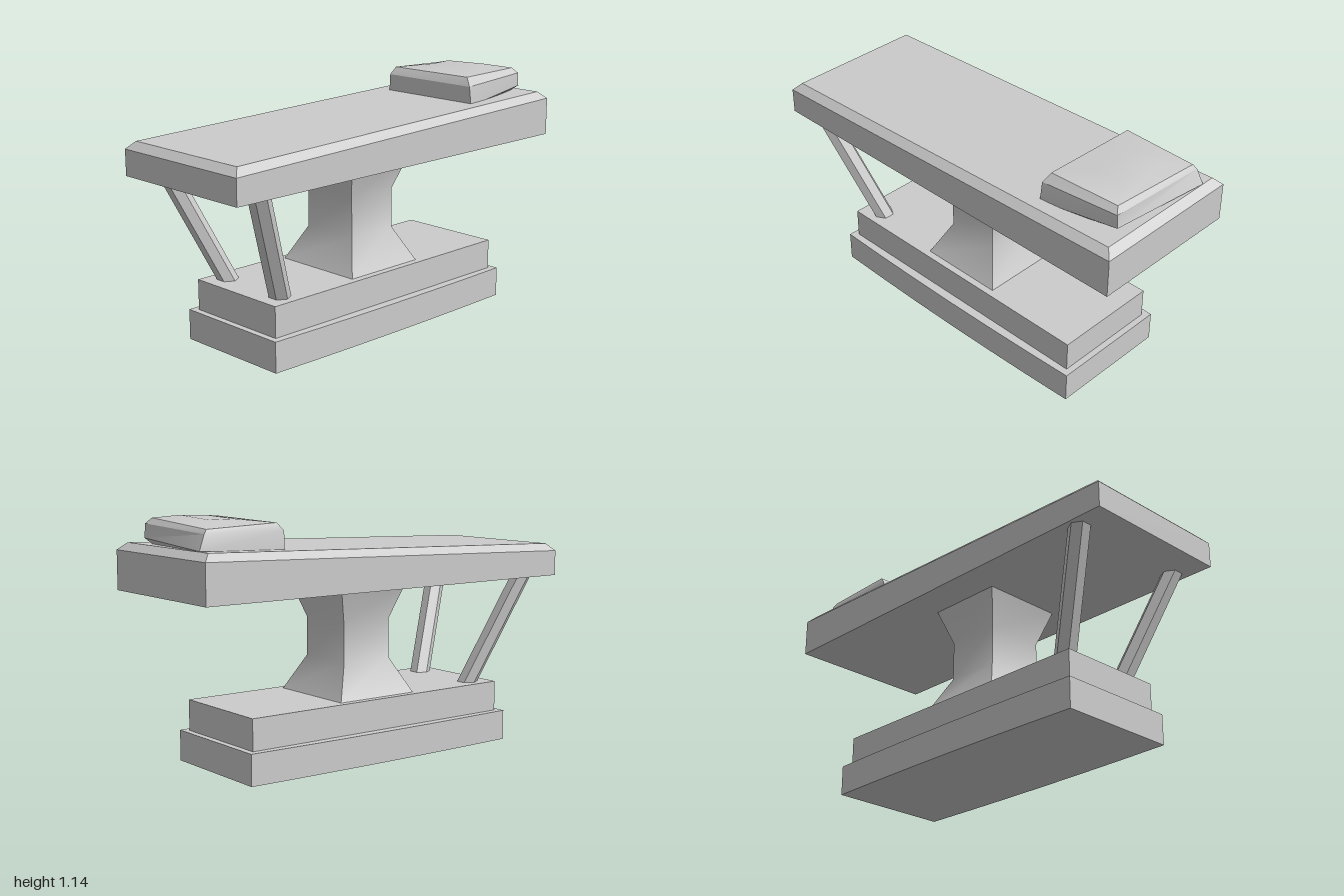
import * as THREE from 'three';
import { toCreasedNormals } from 'three/addons/utils/BufferGeometryUtils.js';

const material = new THREE.MeshStandardMaterial({ color: 0xcccccc });

// Closed solid through a stack of rings, bottom to top; each ring runs counter-clockwise seen from above
function loft(name, rings, creaseDegrees = 1) {
  const n = rings[0].length;
  const index = [];
  const last = (rings.length - 1) * n;
  for (let r = 0; r < rings.length - 1; r++) {
    for (let i = 0; i < n; i++) {
      const j = (i + 1) % n;
      const a = r * n + i, b = r * n + j;
      index.push(a, b, b + n, a, b + n, a + n);
    }
  }
  for (let i = 1; i < n - 1; i++) {
    index.push(0, i + 1, i);
    index.push(last, last + i, last + i + 1);
  }
  const geometry = new THREE.BufferGeometry();
  geometry.setAttribute('position', new THREE.Float32BufferAttribute(rings.flat(2), 3));
  geometry.setIndex(index);
  const mesh = new THREE.Mesh(toCreasedNormals(geometry, THREE.MathUtils.degToRad(creaseDegrees)), material);
  mesh.name = name;
  return mesh;
}

// Rectangular ring whose height may differ between its left (x0) and right (x1) ends
const rect = (x0, x1, z, y0, y1 = y0) => [[x0, y0, z], [x1, y1, z], [x1, y1, -z], [x0, y0, -z]];

// Plinth outline with slightly bowed long sides
function bowedRing(halfX, endZ, bow, y) {
  const front = [], back = [];
  for (let i = 0; i <= 6; i++) {
    const t = i / 3 - 1;
    const z = endZ + bow * (1 - t * t);
    front.push([t * halfX, y, z]);
    back.push([-t * halfX, y, -z]);
  }
  return [...front, ...back];
}

// Six-sided ring lying level, with two corners along z
function hexRing(x, y, z, radius) {
  return Array.from({ length: 6 }, (_, i) => {
    const a = (i * Math.PI) / 3;
    return [x - Math.sin(a) * radius, y, z - Math.cos(a) * radius];
  });
}

export function createModel() {
  const group = new THREE.Group();
  group.name = 'paddedTable';

  // Two-step base
  group.add(loft('lowerBase', [bowedRing(0.74, 0.295, 0.012, 0), bowedRing(0.74, 0.295, 0.012, 0.143)], 10));
  group.add(loft('upperBase', [rect(-0.71, 0.71, 0.262, 0.143), rect(-0.71, 0.71, 0.262, 0.287)]));

  // Waisted column
  group.add(loft('pedestal', [
    rect(-0.213, 0.21, 0.228, 0.287),
    rect(-0.133, 0.129, 0.145, 0.45),
    rect(-0.133, 0.129, 0.143, 0.635),
    rect(-0.188, 0.185, 0.2, 0.8),
  ], 45));

  // Pair of slanted struts
  for (const side of [1, -1]) {
    group.add(loft(side > 0 ? 'frontStrut' : 'backStrut', [
      hexRing(-0.603, 0.28, side * 0.175, 0.05),
      hexRing(-0.827, 0.8, side * 0.306, 0.05),
    ]));
  }

  // Sloping bed with a bevelled rim
  group.add(loft('bed', [
    rect(-1, 1, 0.372, 0.8),
    rect(-1, 1, 0.372, 0.92, 0.98),
    rect(-0.966, 0.964, 0.337, 0.955, 1.013),
  ]));

  // Head cushion, a little askew, with its front right corner lifted
  group.add(loft('headCushion', [
    [[0.56, 0.97, 0.25], [0.9, 1.0, 0.2], [0.95, 1.0, -0.25], [0.56, 0.97, -0.25]],
    [[0.535, 0.99, 0.275], [0.93, 1.037, 0.245], [0.965, 1.015, -0.27], [0.535, 0.99, -0.26]],
    [[0.535, 1.08, 0.263], [0.925, 1.1, 0.245], [0.935, 1.083, -0.26], [0.535, 1.08, -0.255]],
    [[0.555, 1.12, 0.23], [0.905, 1.125, 0.22], [0.918, 1.102, -0.25], [0.565, 1.115, -0.245]],
    [[0.7, 1.135, 0.11], [0.83, 1.14, 0.11], [0.83, 1.131, -0.13], [0.7, 1.13, -0.12]],
  ], 25));

  return group;
}
